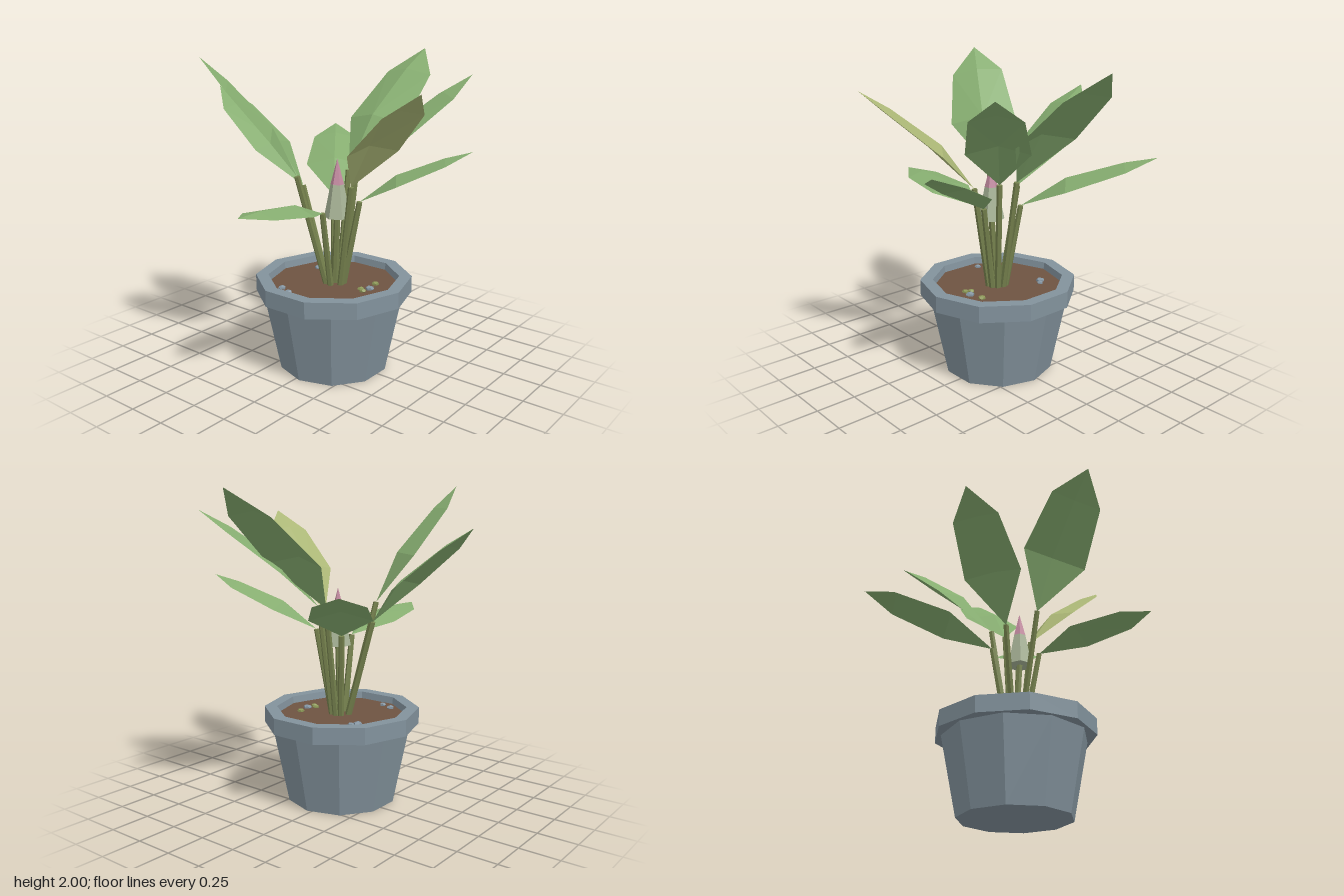
import * as THREE from 'three';

const flat = (name, color, side = THREE.FrontSide) => {
  const m = new THREE.MeshStandardMaterial({ color, flatShading: true, side });
  m.name = name;
  return m;
};

const V = (a) => new THREE.Vector3(...a);

// Folded leaf: a raised midrib with two pairs of edge points between base and tip
function leafGeometry(base, tip, width, roll) {
  const dir = tip.clone().sub(base);
  const len = dir.length();
  dir.normalize();
  const side = new THREE.Vector3().crossVectors(dir, new THREE.Vector3(0, 1, 0)).normalize();
  side.applyAxisAngle(dir, roll);
  const up = new THREE.Vector3().crossVectors(side, dir);
  const at = (t, s, n) => base.clone().addScaledVector(dir, t * len)
    .addScaledVector(side, s * len).addScaledVector(up, n * len);

  const rows = [[0.37, width, 0.02, 0.08], [0.78, width * 0.79, 0.005, 0.045]];
  const pos = [];
  const tri = (a, b, c) => [a, b, c].forEach((p) => pos.push(p.x, p.y, p.z));
  for (const s of [1, -1]) {
    const [e1, e2] = rows.map(([t, w, n]) => at(t, s * w, n));
    const [m1, m2] = rows.map(([t, , , n]) => at(t, 0, n));
    const faces = [[base, e1, m1], [m1, e1, e2], [m1, e2, m2], [m2, e2, tip]];
    for (const [a, b, c] of faces) s > 0 ? tri(a, b, c) : tri(a, c, b);
  }
  const g = new THREE.BufferGeometry();
  g.setAttribute('position', new THREE.Float32BufferAttribute(pos, 3));
  g.computeVertexNormals();
  return g;
}

// Straight stalk between two points
function stalk(from, to, radius, material) {
  const d = to.clone().sub(from);
  const mesh = new THREE.Mesh(new THREE.CylinderGeometry(radius * 0.85, radius, d.length(), 6), material);
  mesh.position.copy(from).addScaledVector(d, 0.5);
  mesh.quaternion.setFromUnitVectors(new THREE.Vector3(0, 1, 0), d.normalize());
  return mesh;
}

export function createModel() {
  const model = new THREE.Group();
  model.name = 'pottedPlant';

  const potMat = flat('slate pot', 0x82929c, THREE.DoubleSide);
  const soilMat = flat('soil brown', 0x6e5341);
  const leafMat = flat('leaf green', 0x86ad70, THREE.DoubleSide);
  const yellowMat = flat('yellowing leaf', 0xacb877, THREE.DoubleSide);
  const stemMat = flat('stem olive', 0x76824e);
  const sepalMat = flat('sepal pale green', 0xa9b598);
  const petalMat = flat('petal pink', 0xc58ca2);
  const mossMat = flat('pebble olive', 0x8c9858);
  const stoneMat = flat('pebble grey', 0x8596a3);

  const cx = 0.03, cz = 0.025;
  const add = (name, geo, mat, x, y, z, ry = 0, parent = model) => {
    const m = new THREE.Mesh(geo, mat);
    m.name = name;
    m.position.set(x, y, z);
    m.rotation.y = ry;
    parent.add(m);
    return m;
  };

  // Pot: tapered ten-sided body, hollow rim turned half a step, soil inside
  const step = Math.PI / 10;
  add('potBody', new THREE.CylinderGeometry(0.453, 0.352, 0.5, 10), potMat, cx, 0.25, cz);
  const rim = [[0.41, 0.495], [0.5, 0.495], [0.5, 0.6], [0.42, 0.6], [0.41, 0.53]];
  add('potRim', new THREE.LatheGeometry(rim.map((p) => new THREE.Vector2(...p)), 10),
    potMat, cx, 0, cz, step);
  add('soil', new THREE.CylinderGeometry(0.425, 0.42, 0.05, 10), soilMat, cx, 0.53, cz, step);

  // Leaves: base, tip, half width as a share of length, roll
  const leaves = [
    ['backLeaf', [0.02, 1.26, -0.14], [0.08, 1.985, -0.92], 0.21, 0],
    ['frontLeaf', [0.065, 1.05, 0.18], [0.085, 1.185, 0.92], 0.205, 0],
    ['frontRightLeaf', [-0.085, 1.27, 0.24], [-0.37, 2.0, 0.73], 0.23, -0.2],
    ['rightLeaf', [-0.18, 1.17, 0.07], [-0.83, 1.76, 0.14], 0.21, 0],
    ['backRightLeaf', [-0.06, 1.09, -0.09], [-0.56, 1.43, -0.75], 0.21, 0],
    ['backLeftLeaf', [0.115, 1.25, -0.09], [0.61, 1.86, -0.625], 0.2, 0],
    ['leftLeaf', [0.19, 1.1, -0.03], [0.795, 1.44, -0.33], 0.21, 0],
    ['yellowLeaf', [0.19, 1.21, 0.06], [0.825, 1.84, 0.31], 0.19, 0],
  ];
  for (const [name, b, t, width, roll] of leaves) {
    const base = V(b);
    const g = new THREE.Group();
    g.name = name;
    const blade = new THREE.Mesh(leafGeometry(base, V(t), width, roll),
      name === 'yellowLeaf' ? yellowMat : leafMat);
    blade.name = name + 'Blade';
    // Stems fan out from a small ring at the soil
    const out = new THREE.Vector3(base.x - 0.04, 0, base.z - cz).normalize();
    const foot = new THREE.Vector3(0.04, 0.54, cz).addScaledVector(out, 0.055);
    const stem = stalk(foot, base, 0.021, stemMat);
    stem.name = name + 'Stem';
    g.add(blade, stem);
    model.add(g);
  }

  // Flower bud: pale sepals with a pink tip, on its own stem
  const bud = new THREE.Group();
  bud.name = 'flowerBud';
  add('budSepals', new THREE.CylinderGeometry(0.042, 0.083, 0.21, 6), sepalMat, 0.07, 1.105, 0.04, 0, bud);
  add('budPetals', new THREE.ConeGeometry(0.042, 0.16, 6), petalMat, 0.07, 1.29, 0.04, 0, bud);
  const budStem = stalk(V([0.04, 0.54, 0.025]), V([0.07, 1.02, 0.04]), 0.023, stemMat);
  budStem.name = 'budStem';
  bud.add(budStem);
  model.add(bud);

  // Pebbles scattered on the soil
  const pebbles = [[0.29, -0.01, 0.028], [0.25, 0.03, 0.022], [0.28, 0.05, 0.022], [0.27, -0.1, 0.024],
    [-0.21, -0.12, 0.028], [-0.18, -0.15, 0.02], [-0.15, 0.32, 0.025], [-0.07, 0.35, 0.022]];
  const pebbleGeo = new THREE.DodecahedronGeometry(1);
  pebbles.forEach(([x, z, r], i) => {
    const p = add('pebble', pebbleGeo, i === 1 || i === 2 || i === 3 ? mossMat : stoneMat, x, 0.56, z, i * 1.3);
    p.scale.set(r, r * 0.65, r);
  });

  return model;
}
